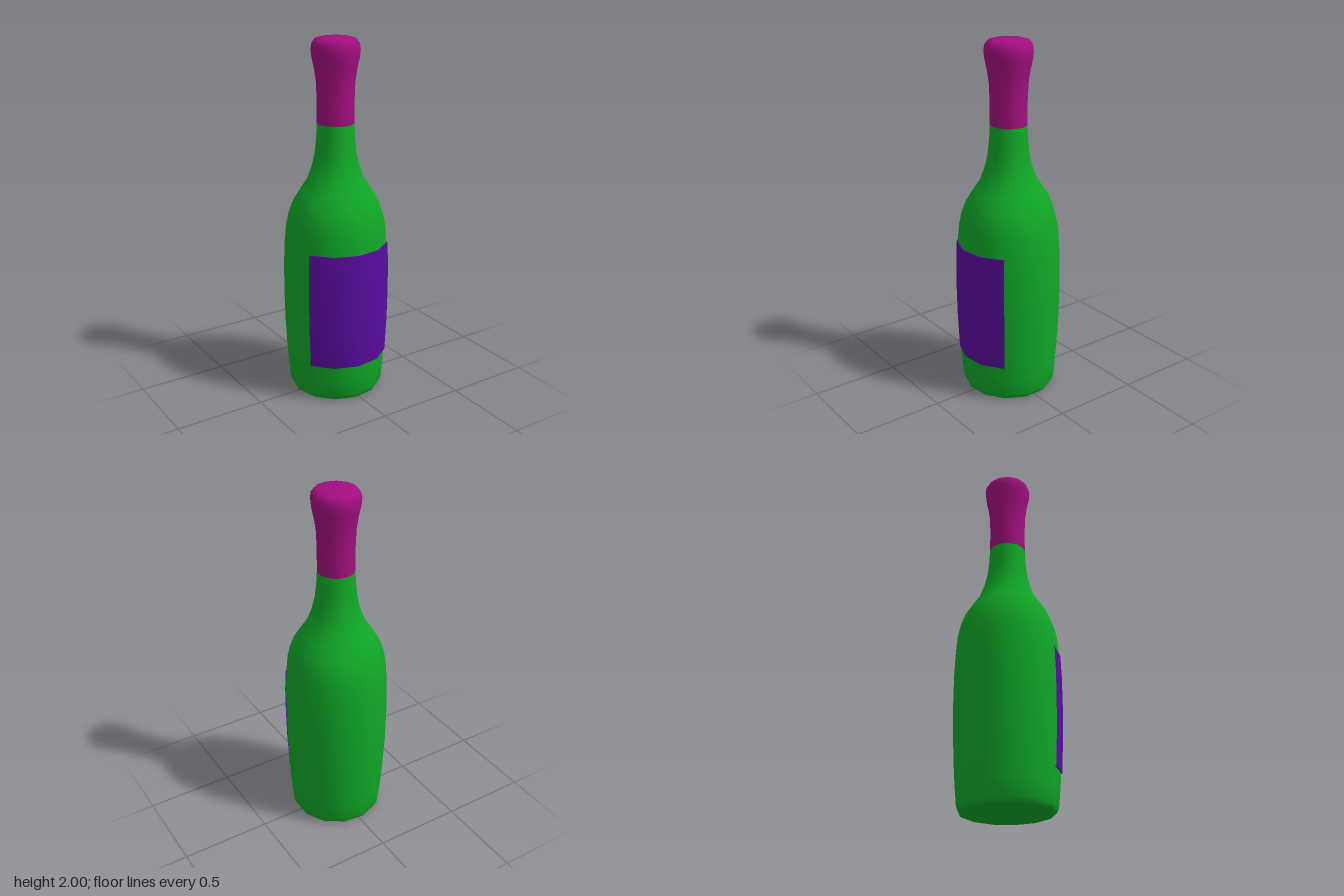
import * as THREE from 'three';
import { toCreasedNormals } from 'three/addons/utils/BufferGeometryUtils.js';

const SIDES = 13;
const STEP = (Math.PI * 2) / SIDES;
const START = -Math.PI / 2; // one corner of the 13-sided body points to -x

// Turned part from [radius, height] pairs, listed bottom to top
function turned(name, profile, color, first = 0, count = SIDES, side = THREE.FrontSide) {
  const points = profile.map(([r, y]) => new THREE.Vector2(r, y));
  const lathe = new THREE.LatheGeometry(points, count, START + first * STEP, count * STEP);
  const mesh = new THREE.Mesh(
    toCreasedNormals(lathe, 0.85),
    new THREE.MeshStandardMaterial({ color, side })
  );
  mesh.name = name;
  return mesh;
}

export function createModel() {
  const bottle = new THREE.Group();
  bottle.name = 'bottle';

  // Glass body: base, belly, shoulder and neck
  bottle.add(turned('glassBody', [
    [0, 0.005], [0.235, 0.005], [0.252, 0.01], [0.264, 0.035], [0.273, 0.13],
    [0.281, 0.25], [0.289, 0.42], [0.292, 0.6], [0.291, 0.75], [0.285, 0.88],
    [0.276, 0.98], [0.261, 1.05], [0.235, 1.12], [0.197, 1.18], [0.157, 1.24],
    [0.131, 1.31], [0.115, 1.38], [0.106, 1.46], [0.101, 1.55],
  ], 0x10a827));

  // Foil over the upper neck, flaring to the rounded lip
  bottle.add(turned('neckFoil', [
    [0.098, 1.545], [0.102, 1.545], [0.101, 1.66], [0.105, 1.77], [0.115, 1.84],
    [0.128, 1.9], [0.132, 1.94], [0.127, 1.972], [0.112, 1.992], [0.085, 2], [0, 2],
  ], 0xa30f80));

  // Paper label wrapped over the four front faces
  bottle.add(turned('label', [
    [0.276, 0.22], [0.285, 0.22], [0.294, 0.42], [0.297, 0.6],
    [0.296, 0.75], [0.291, 0.88], [0.281, 0.88],
  ], 0x5a0c9f, 1, 4, THREE.DoubleSide));

  // Centre the odd-sided outline on x
  bottle.children.forEach((part) => { part.position.x = 0.004; });
  return bottle;
}
